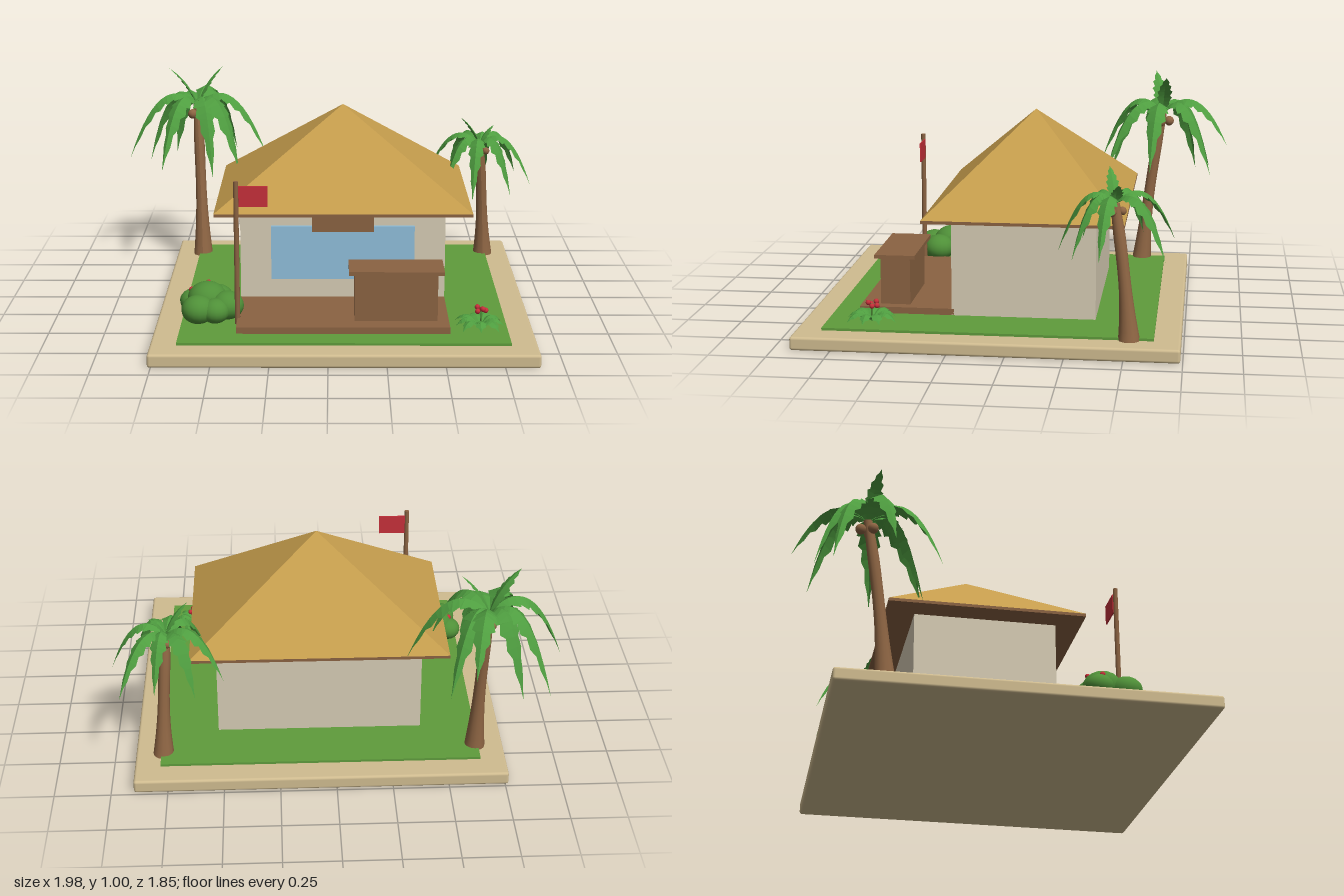
import * as THREE from 'three';
import { RoundedBoxGeometry } from 'three/addons/geometries/RoundedBoxGeometry.js';

const mat = (name, color, side = THREE.FrontSide) => {
  const m = new THREE.MeshStandardMaterial({ color, side });
  m.name = name;
  return m;
};

export function createModel() {
  const root = new THREE.Group();
  root.name = 'beachHut';
  const M = {
    sand: mat('sand', 0xd0bc90),
    grass: mat('grass', 0x5f9c3c),
    wall: mat('plaster', 0xd6ccb4),
    thatch: mat('thatch', 0xc49c4c, THREE.DoubleSide),
    wood: mat('wood', 0x8b6342),
    glass: mat('window blue', 0x8fbedb),
    red: mat('red', 0xc6303a, THREE.DoubleSide),
    leaf: mat('leaf green', 0x4f9e40, THREE.DoubleSide),
    bush: mat('bush green', 0x4f9038),
    trunk: mat('trunk brown', 0x8f6644),
  };

  const add = (name, geo, material, x = 0, y = 0, z = 0, parent = root) => {
    const m = new THREE.Mesh(geo, material);
    m.name = name;
    m.position.set(x, y, z);
    parent.add(m);
    return m;
  };
  // Box given by its limits on each axis
  const box = (name, material, x0, x1, y0, y1, z0, z1, r = 0) => {
    const s = [x1 - x0, y1 - y0, z1 - z0];
    const geo = r ? new RoundedBoxGeometry(...s, 2, r) : new THREE.BoxGeometry(...s);
    return add(name, geo, material, (x0 + x1) / 2, (y0 + y1) / 2, (z0 + z1) / 2);
  };

  // Ground
  box('sandBase', M.sand, -0.765, 0.9, 0, 0.06, -0.74, 0.925, 0.012);
  box('lawn', M.grass, -0.65, 0.785, 0.055, 0.071, -0.625, 0.81);
  box('deck', M.wood, -0.4, 0.53, 0.07, 0.1, 0.27, 0.695);

  // House
  box('walls', M.wall, -0.4, 0.53, 0.07, 0.512, -0.36, 0.28);
  box('frontWindow', M.glass, -0.26, 0.39, 0.19, 0.44, 0.285, 0.298);
  box('signBoard', M.wood, -0.075, 0.205, 0.42, 0.508, 0.302, 0.316);
  box('eaves', M.wood, -0.512, 0.645, 0.51, 0.524, -0.488, 0.395);
  const roof = new THREE.ConeGeometry(Math.SQRT1_2, 1, 4, 1, true).toNonIndexed();
  roof.rotateY(Math.PI / 4);
  roof.scale(1.157, 0.407, 0.883);
  roof.computeVertexNormals();
  add('thatchedRoof', roof, M.thatch, 0.0665, 0.7275, -0.0465);

  // Counter
  box('counterBody', M.wood, 0.115, 0.48, 0.1, 0.315, 0.475, 0.608);
  box('counterTop', M.wood, 0.09, 0.507, 0.314, 0.331, 0.448, 0.63);

  // Flag
  add('flagPole', new THREE.CylinderGeometry(0.011, 0.012, 0.65, 10), M.wood, -0.4, 0.395, 0.565);
  box('flag', M.red, -0.39, -0.263, 0.605, 0.697, 0.553, 0.559);

  // Leaf: a folded ribbon with toothed edges, bent along a curve from its base
  const leafGeo = (curve, width, teeth, fold) => {
    const rows = teeth * 2;
    const end = curve.getPoint(1);
    const side = new THREE.Vector3(-end.z, 0, end.x).normalize();
    const pos = [], idx = [];
    for (let i = 0; i <= rows; i++) {
      const t = i / rows;
      const p = curve.getPoint(t);
      const tan = curve.getTangent(t);
      const up = new THREE.Vector3().crossVectors(tan, side).normalize();
      if (up.y < 0) up.negate();
      const tooth = i % 2 ? 0.72 : 1;
      const w = width * tooth * (0.12 * (1 - t) + Math.sin(Math.PI * Math.pow(t, 0.8)));
      for (const s of [-1, 0, 1]) {
        const q = p.clone().addScaledVector(side, s * w);
        if (s) q.addScaledVector(up, -fold * w).addScaledVector(tan, tooth === 1 ? 0.3 * w : 0);
        pos.push(q.x, q.y, q.z);
      }
      if (i < rows) {
        const a = i * 3;
        for (const k of [a, a + 1]) idx.push(k, k + 1, k + 3, k + 1, k + 4, k + 3);
      }
    }
    const g = new THREE.BufferGeometry();
    g.setAttribute('position', new THREE.Float32BufferAttribute(pos, 3));
    g.setIndex(idx);
    const flat = g.toNonIndexed();
    flat.computeVertexNormals();
    return flat;
  };
  const arc = (dx, dz, rise, drop, reach = 0.55) => new THREE.QuadraticBezierCurve3(
    new THREE.Vector3(),
    new THREE.Vector3(dx * reach, rise, dz * reach),
    new THREE.Vector3(dx, drop, dz));

  // Palm: leaning flared trunk, drooping fronds, young upright fronds and coconuts
  const palm = (name, foot, crown, size, fronds, shoots) => {
    const g = new THREE.Group();
    g.name = name;
    root.add(g);
    const h = crown[1] - foot[1];
    const trunk = new THREE.CylinderGeometry(0.02, 0.047, h, 12, 14);
    const p = trunk.attributes.position;
    for (let i = 0; i < p.count; i++) {
      const t = p.getY(i) / h + 0.5;
      const f = 1 - 0.25 * Math.sin(Math.PI * Math.min(1, t * 1.3));
      const lean = 0.6 * t + 0.4 * t * t;
      p.setX(i, p.getX(i) * f + (crown[0] - foot[0]) * lean);
      p.setZ(i, p.getZ(i) * f + (crown[2] - foot[2]) * lean);
    }
    trunk.computeVertexNormals();
    add('palmTrunk', trunk, M.trunk, foot[0], foot[1] + h / 2, foot[2], g);
    for (const [dx, dz, drop] of fronds)
      add('palmFrond', leafGeo(arc(dx, dz, 0.2 * size, drop), 0.052 * size, 7, 0.55), M.leaf, ...crown, g);
    for (const [dx, dz, lift] of shoots)
      add('youngFrond', leafGeo(arc(dx, dz, lift * 0.65, lift, 0.3), 0.036 * size, 6, 0.3), M.leaf, ...crown, g);
    for (let i = 0; i < 3; i++) {
      const a = 2.4 + i * 2.1;
      add('coconut', new THREE.SphereGeometry(0.024 * size, 12, 8), M.trunk,
        crown[0] + Math.cos(a) * 0.032, crown[1] - 0.045 * size, crown[2] + Math.sin(a) * 0.032, g);
    }
  };
  palm('tallPalm', [-0.635, 0.06, -0.51], [-0.657, 0.81, -0.605], 1, [
    [0.085, -0.32, -0.15], [0.18, -0.24, -0.28], [0.345, 0.05, -0.25],
    [0.22, 0.27, -0.28], [0.09, 0.26, -0.32], [-0.155, 0.31, -0.27],
    [-0.335, 0.085, -0.26], [-0.26, -0.165, -0.33], [-0.13, -0.235, -0.3],
  ], [[-0.135, 0.04, 0.19], [0.13, -0.02, 0.19]]);
  palm('shortPalm', [0.775, 0.06, -0.52], [0.742, 0.645, -0.452], 0.76, [
    [-0.13, -0.25, -0.18], [0.05, -0.2, -0.2], [0.2, -0.22, -0.2], [0.25, 0.05, -0.2],
    [0.14, 0.17, -0.22], [-0.05, 0.245, -0.23], [-0.18, 0.15, -0.2], [-0.25, -0.11, -0.18],
  ], [[-0.1, 0.03, 0.14], [0.07, -0.02, 0.09]]);

  // Bush of overlapping rounded clumps
  const clumps = [
    [-0.54, 0.15, 0.45, 0.09], [-0.45, 0.135, 0.5, 0.075], [-0.575, 0.13, 0.545, 0.075],
    [-0.605, 0.13, 0.42, 0.062], [-0.5, 0.14, 0.42, 0.075], [-0.5, 0.125, 0.55, 0.065],
  ];
  for (const [x, y, z, r] of clumps)
    add('bushClump', new THREE.SphereGeometry(r, 18, 12), M.bush, x, y, z).scale.y = 0.85;
  add('bushBlossom', new THREE.SphereGeometry(0.014, 10, 8), M.red, -0.61, 0.185, 0.435);
  add('bushBlossom', new THREE.SphereGeometry(0.011, 10, 8), M.red, -0.54, 0.205, 0.385);

  // Flowering plant: rosette of broad leaves with a red cluster
  for (let i = 0; i < 9; i++) {
    const a = (i / 9) * Math.PI * 2 + 0.2;
    const r = 0.108 + 0.014 * (i % 2);
    add('plantLeaf', leafGeo(arc(Math.cos(a) * r, Math.sin(a) * r, 0.085, 0.008), 0.034, 4, 0.35),
      M.leaf, 0.665, 0.075, 0.612);
  }
  add('flowerStem', new THREE.CylinderGeometry(0.004, 0.004, 0.08, 6), M.bush, 0.67, 0.115, 0.61);
  for (let i = 0; i < 5; i++) {
    const a = (i / 5) * Math.PI * 2;
    add('flowerPetal', new THREE.SphereGeometry(0.012, 8, 6), M.red,
      0.67 + Math.cos(a) * 0.02, 0.148 + 0.012 * (i % 2), 0.605 + Math.sin(a) * 0.02);
  }
  return root;
}
